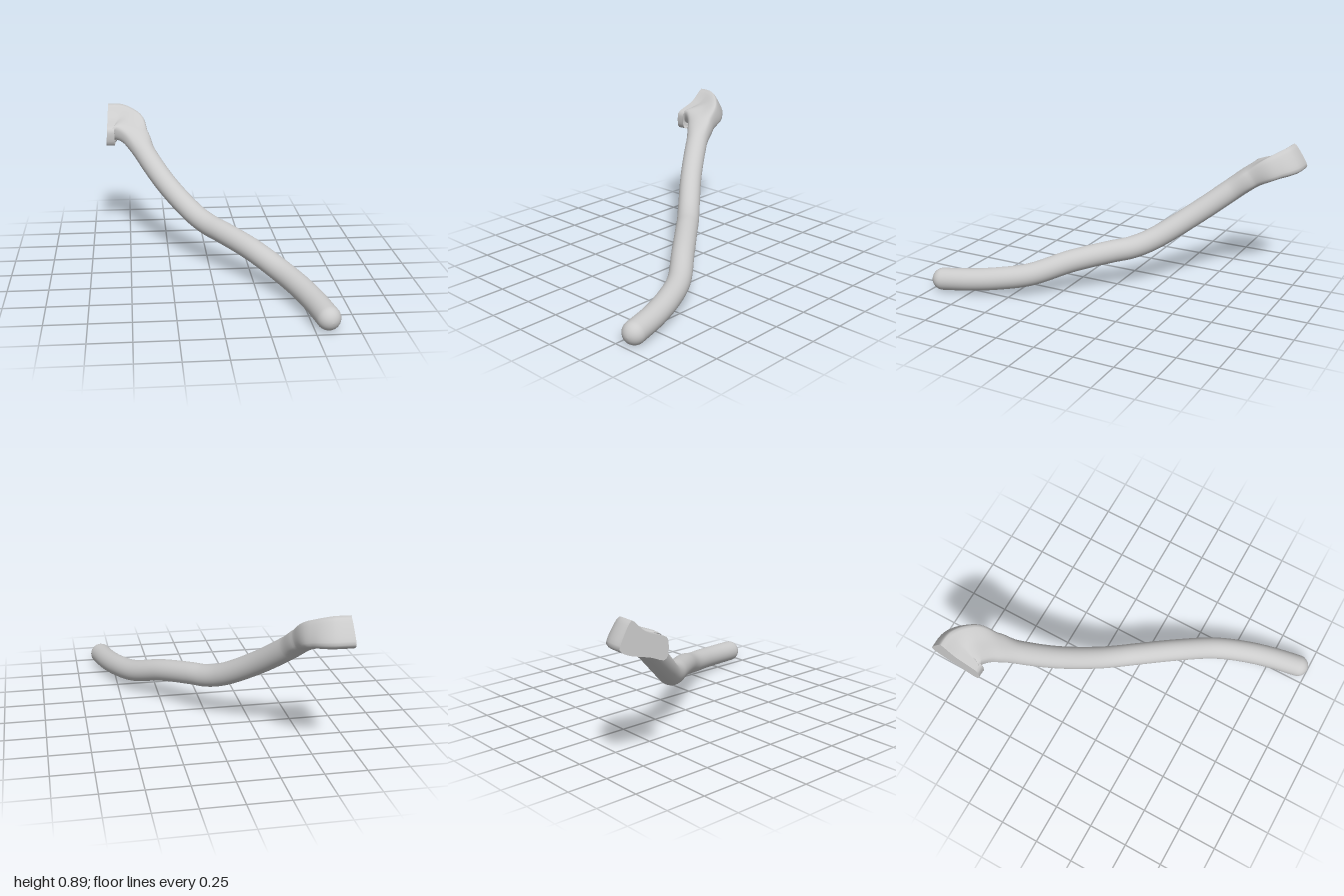
import * as THREE from 'three';

const SIDES = 48, STEPS = 130, RADIUS = 0.07;
const v3 = (a) => new THREE.Vector3(...a);

// Centre line from the rounded tip to the flat face of the head:
// x, y, z, blend from round shaft (0) to head outline (1)
const stations = [
  [0.575, 0.07, 0.93, 0], [0.535, 0.085, 0.75, 0], [0.48, 0.105, 0.58, 0],
  [0.395, 0.135, 0.4, 0], [0.24, 0.205, 0.2, 0], [0.08, 0.25, 0, 0],
  [0, 0.268, -0.1, 0], [-0.085, 0.31, -0.2, 0], [-0.25, 0.45, -0.4, 0],
  [-0.385, 0.61, -0.6, 0.02], [-0.44, 0.695, -0.70, 0.22], [-0.5, 0.755, -0.79, 0.7],
  [-0.565, 0.765, -0.83, 1], [-0.64, 0.765, -0.835, 1],
];

// Head outline, long axis across, doubled points at the sharper corners
const outline = new THREE.CatmullRomCurve3([
  [0.133, 0.067], [0.139, 0.055], [0.142, -0.085], [0.134, -0.1], [0.078, -0.103],
  [-0.072, -0.064], [-0.165, -0.046], [-0.177, -0.03], [-0.176, -0.005],
  [-0.14, 0.062], [-0.125, 0.07], [0.017, 0.048], [0.12, 0.067],
].map(([u, v]) => new THREE.Vector3(u, v, 0)), true).getSpacedPoints(SIDES);

// One closed ring around a centre, square to the direction of travel
const UP = new THREE.Vector3(0, 0.86, 0.51);
function ring(center, dir, radius, blend) {
  const u = new THREE.Vector3().crossVectors(dir, UP).normalize();
  const v = new THREE.Vector3().crossVectors(u, dir).normalize();
  return Array.from({ length: SIDES }, (_, j) => {
    const a = 0.47 - (j / SIDES) * Math.PI * 2;
    const s = THREE.MathUtils.lerp(radius * Math.cos(a), outline[j].x, blend);
    const t = THREE.MathUtils.lerp(radius * Math.sin(a), outline[j].y, blend);
    return center.clone().addScaledVector(u, s).addScaledVector(v, t);
  });
}

function buildRings() {
  const path = new THREE.CatmullRomCurve3(stations.map(v3));
  const rings = [];
  // Rounded tip
  const start = path.getPoint(0), startDir = path.getTangent(0);
  for (let i = 0; i < 10; i++) {
    const a = 0.01 + (i / 10) * (Math.PI / 2 - 0.01);
    const c = start.clone().addScaledVector(startDir, -RADIUS * Math.cos(a));
    rings.push(ring(c, startDir, RADIUS * Math.sin(a), 0));
  }
  // Shaft turning into the head
  for (let i = 0; i <= STEPS; i++) {
    const t = i / STEPS, f = t * (stations.length - 1);
    const k = Math.min(Math.floor(f), stations.length - 2);
    const blend = THREE.MathUtils.lerp(stations[k][3], stations[k + 1][3],
      THREE.MathUtils.smoothstep(f - k, 0, 1) * 0.5 + (f - k) * 0.5);
    // The last stretch straightens towards the flat face
    const dir = path.getTangent(t);
    dir.lerp(new THREE.Vector3(-1, 0, 0), THREE.MathUtils.smoothstep(t, 0.88, 1)).normalize();
    rings.push(ring(path.getPoint(t), dir, RADIUS, blend));
  }
  // Slight lean of the end face
  for (const p of rings[rings.length - 1]) p.x += (p.y - 0.765) * 0.06;
  return rings;
}

function meshFrom(name, points, index) {
  const geometry = new THREE.BufferGeometry().setFromPoints(points);
  geometry.setIndex(index);
  geometry.computeVertexNormals();
  const mesh = new THREE.Mesh(geometry, new THREE.MeshStandardMaterial({ color: 0xcccccc }));
  mesh.name = name;
  return mesh;
}

export function createModel() {
  const group = new THREE.Group();
  group.name = 'curvedHandle';
  const rings = buildRings();

  // Shaft and head skin
  const skin = [];
  for (let i = 0; i < rings.length - 1; i++) {
    for (let j = 0; j < SIDES; j++) {
      const n = (j + 1) % SIDES;
      const a = i * SIDES + j, b = i * SIDES + n, c = a + SIDES, d = b + SIDES;
      skin.push(a, b, d, a, d, c);
    }
  }
  group.add(meshFrom('shaftAndHead', rings.flat(), skin));

  // Flat face closing the head
  const rim = rings[rings.length - 1];
  const middle = new THREE.Vector3(-0.64, 0.765, -0.835);
  const fan = [];
  for (let j = 0; j < SIDES; j++) fan.push(SIDES, j, (j + 1) % SIDES);
  group.add(meshFrom('headFace', [...rim, middle], fan));
  return group;
}
